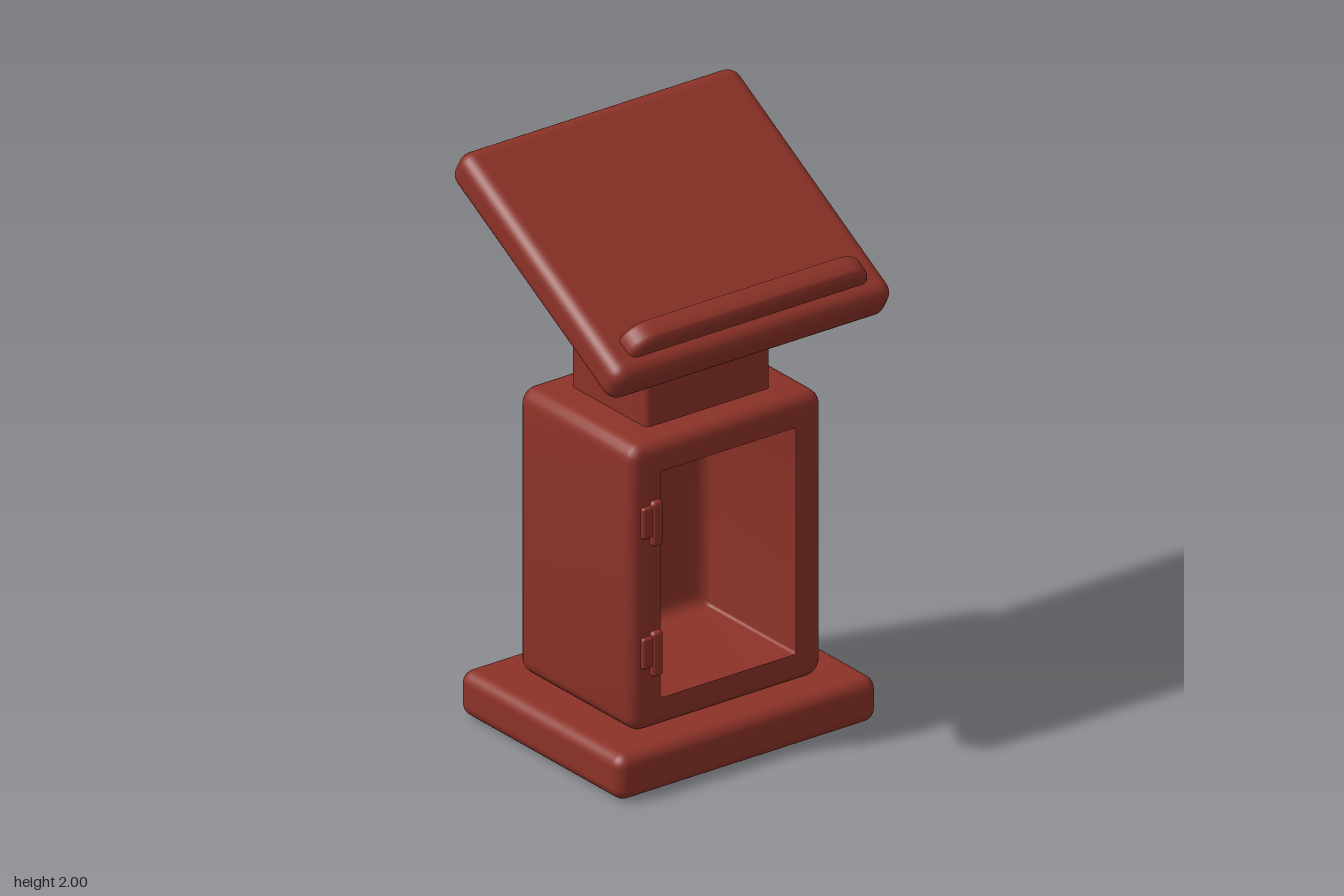
import * as THREE from 'three';
import { toCreasedNormals } from 'three/addons/utils/BufferGeometryUtils.js';
import { RoundedBoxGeometry } from 'three/addons/geometries/RoundedBoxGeometry.js';

const STEPS = 5;

// Counter-clockwise rounded rectangle, always with the same number of points
function ring(hw, hh, r) {
  const pts = [];
  [[1, 1], [-1, 1], [-1, -1], [1, -1]].forEach(([sx, sy], q) => {
    for (let i = 0; i <= STEPS; i++) {
      const a = (q + i / STEPS) * Math.PI / 2;
      pts.push([sx * (hw - r) + r * Math.cos(a), sy * (hh - r) + r * Math.sin(a)]);
    }
  });
  return pts;
}

// Skin through sections [halfWidth, halfHeight, cornerRadius, z]
function loft(sections) {
  const pos = [], index = [];
  const n = 4 * (STEPS + 1);
  sections.forEach(([hw, hh, r, z], j) => {
    for (const [x, y] of ring(hw, hh, r)) pos.push(x, y, z);
    if (j === 0) return;
    for (let i = 0; i < n; i++) {
      const k = (i + 1) % n, lo = (j - 1) * n, hi = j * n;
      index.push(lo + i, lo + k, hi + k, lo + i, hi + k, hi + i);
    }
  });
  const g = new THREE.BufferGeometry();
  g.setAttribute('position', new THREE.Float32BufferAttribute(pos, 3));
  g.setIndex(index);
  return toCreasedNormals(g, 0.6);
}

// Hollow cabinet: back, rounded outside, front frame, then the recess
function cabinetGeometry() {
  const hw = 0.385, hh = 0.505, r = 0.045, back = -0.31, front = 0.3;
  const ow = 0.272, oh = 0.4, f = 0.05, inner = -0.18;
  const sections = [[0, 0, 0, back]];
  for (let i = 0; i <= STEPS; i++) {
    const a = i / STEPS * Math.PI / 2, inset = r * (1 - Math.sin(a));
    sections.push([hw - inset, hh - inset, 0.055 - inset, back + r * (1 - Math.cos(a))]);
  }
  for (let i = STEPS; i >= 0; i--) {
    const a = i / STEPS * Math.PI / 2, inset = r * (1 - Math.sin(a));
    sections.push([hw - inset, hh - inset, 0.055 - inset, front - r * (1 - Math.cos(a))]);
  }
  sections.push([ow, oh, 0.012, front]);
  for (let i = 0; i <= STEPS; i++) {
    const a = i / STEPS * Math.PI / 2, inset = f * (1 - Math.cos(a));
    sections.push([ow - inset, oh - inset, 0.012, inner + f * (1 - Math.sin(a))]);
  }
  sections.push([0, 0, 0, inner]);
  return loft(sections);
}

export function createModel() {
  const model = new THREE.Group();
  model.name = 'lectern';
  const wood = new THREE.MeshStandardMaterial({ color: 0x8c3228 });
  wood.name = 'red brown wood';

  const add = (name, geometry, x, y, z, parent = model) => {
    const mesh = new THREE.Mesh(geometry, wood);
    mesh.name = name;
    mesh.position.set(x, y, z);
    parent.add(mesh);
    return mesh;
  };
  const box = (w, h, d, r) => new RoundedBoxGeometry(w, h, d, 4, r);

  add('base', box(1.04, 0.16, 0.86, 0.045), -0.01, 0.08, -0.01);
  add('cabinet', cabinetGeometry(), -0.005, 0.663, 0);

  // Neck, its top cut to the slope of the desk
  const tilt = 0.52, deskY = 1.713;
  const neckShape = new THREE.Shape(ring(0.25, 0.2, 0.02).map(([x, y]) => new THREE.Vector2(x, y)));
  const neck = new THREE.ExtrudeGeometry(neckShape, { depth: 1, bevelEnabled: false });
  neck.rotateX(-Math.PI / 2);
  const p = neck.attributes.position;
  for (let i = 0; i < p.count; i++) {
    const top = deskY - Math.tan(tilt) * (p.getZ(i) - 0.01);
    p.setY(i, p.getY(i) > 0.5 ? top : 1.14);
  }
  add('neck', toCreasedNormals(neck, 0.6), 0, 0, -0.01);

  // Sloping desk with its book ledge
  const desk = new THREE.Group();
  desk.name = 'desk';
  desk.position.set(0, deskY, 0);
  desk.rotation.x = tilt;
  model.add(desk);
  add('deskTop', box(1.115, 0.138, 0.99, 0.05), -0.003, 0, 0, desk);

  const ledge = new THREE.Shape();
  ledge.moveTo(-0.45, 0);
  ledge.lineTo(0.45, 0);
  ledge.lineTo(0.45, 0.03);
  ledge.quadraticCurveTo(0.44, 0.075, 0.38, 0.075);
  ledge.lineTo(-0.38, 0.075);
  ledge.quadraticCurveTo(-0.44, 0.075, -0.45, 0.03);
  ledge.closePath();
  const ledgeGeometry = new THREE.ExtrudeGeometry(ledge, {
    depth: 0.036, bevelSize: 0.028, bevelThickness: 0.028, bevelSegments: 5, curveSegments: 8,
  });
  add('bookLedge', toCreasedNormals(ledgeGeometry, 0.7), 0.003, 0.035, 0.368, desk);

  // Hinges left on the open door frame
  for (const y of [0.89, 0.43]) {
    const hinge = new THREE.Group();
    hinge.name = 'hinge';
    hinge.position.set(0, y, 0.3);
    model.add(hinge);
    add('hingeKnuckle', box(0.045, 0.16, 0.04, 0.015), -0.298, 0, 0, hinge);
    add('hingeLeaf', box(0.05, 0.11, 0.026, 0.01), -0.33, 0.01, 0, hinge);
  }
  return model;
}
